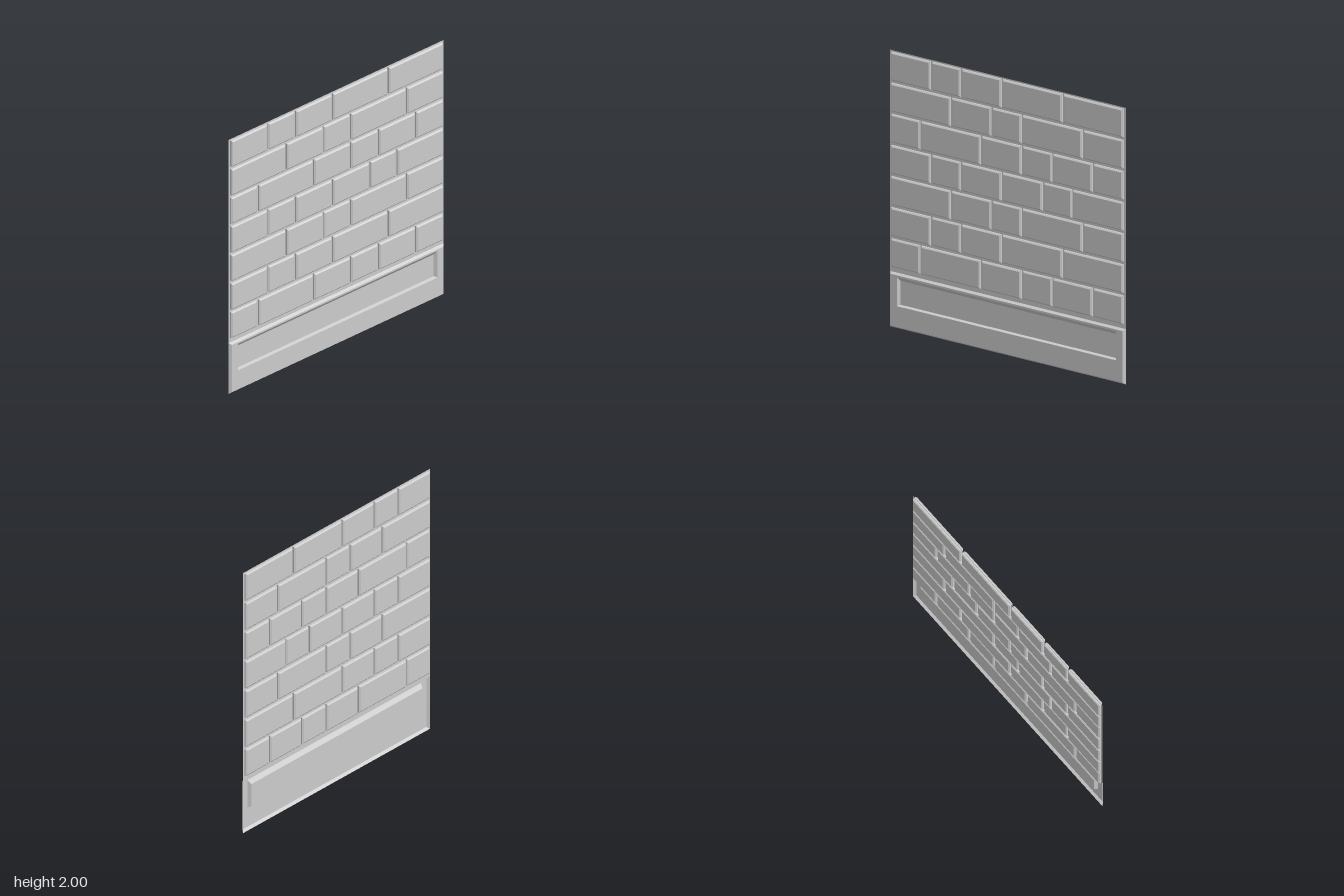
import * as THREE from 'three';

const HALF = 0.019; // half thickness of the wall
const material = new THREE.MeshStandardMaterial({ color: 0xcccccc, flatShading: true, side: THREE.DoubleSide });

// Block with chamfered front and back edges, centred on its origin
function brickGeometry(width, height, half) {
  const inset = 0.01, bevel = 0.008;
  const w = width / 2 - inset, h = height / 2 - inset;
  const shape = new THREE.Shape([[-w, -h], [w, -h], [w, h], [-w, h]].map(p => new THREE.Vector2(...p)));
  const depth = 2 * (half - bevel);
  return new THREE.ExtrudeGeometry(shape, {
    depth, bevelEnabled: true, bevelSegments: 1, bevelSize: inset, bevelThickness: bevel,
  }).translate(0, 0, -depth / 2);
}

// Open shell joining nested rectangles [halfWidth, bottom, top, z], closed by the last one
function nestedPanel(rects) {
  const loops = rects.map(([w, b, t, z]) => [[-w, b, z], [w, b, z], [w, t, z], [-w, t, z]]);
  const positions = [];
  const quad = (a, b, c, d) => positions.push(...a, ...b, ...c, ...a, ...c, ...d);
  for (let i = 0; i + 1 < loops.length; i++) {
    for (let k = 0; k < 4; k++) {
      const n = (k + 1) % 4;
      quad(loops[i][k], loops[i][n], loops[i + 1][n], loops[i + 1][k]);
    }
  }
  quad(...loops[loops.length - 1]);
  const geometry = new THREE.BufferGeometry();
  geometry.setAttribute('position', new THREE.Float32BufferAttribute(positions, 3));
  geometry.computeVertexNormals();
  return geometry;
}

export function createModel() {
  const model = new THREE.Group();
  model.name = 'brickWall';

  // Thin mortar sheet behind and between the bricks
  const mortar = new THREE.Mesh(new THREE.PlaneGeometry(2, 1.6), material);
  mortar.name = 'mortarSheet';
  mortar.position.y = 1.2;
  model.add(mortar);

  // Skirting panel: sloped rim, flat face, sunken field
  const panel = new THREE.Mesh(nestedPanel([
    [1, 0, 0.4, 0],
    [0.985, 0.015, 0.388, HALF],
    [0.93, 0.165, 0.375, HALF],
    [0.915, 0.172, 0.345, -0.004],
  ]), material);
  panel.name = 'skirtingPanel';
  model.add(panel);

  // Brick courses, given by their vertical joints from bottom to top
  const a = [-0.735, -0.22, 0.125, 0.385, 0.73];
  const b = [-0.645, -0.39, -0.045, 0.475];
  const c = [-0.475, -0.13, 0.125, 0.645];
  const d = [-0.645, -0.39, -0.045, 0.305, 0.555];
  const gap = 0.016, height = 0.204, pitch = 0.225;
  [a, b, c, d, a, c, b].forEach((joints, row) => {
    const course = new THREE.Group();
    course.name = `brickCourse${row + 1}`;
    course.position.y = 0.538 + row * pitch;
    const cuts = [-0.992, ...joints, 0.992];
    for (let i = 0; i + 1 < cuts.length; i++) {
      const width = cuts[i + 1] - cuts[i] - gap;
      // Short bricks stand out a little less
      const half = width < 0.245 ? HALF - 0.003 : HALF;
      const brick = new THREE.Mesh(brickGeometry(width, height, half), material);
      brick.name = 'brick';
      brick.position.x = (cuts[i] + cuts[i + 1]) / 2;
      course.add(brick);
    }
    model.add(course);
  });

  return model;
}
